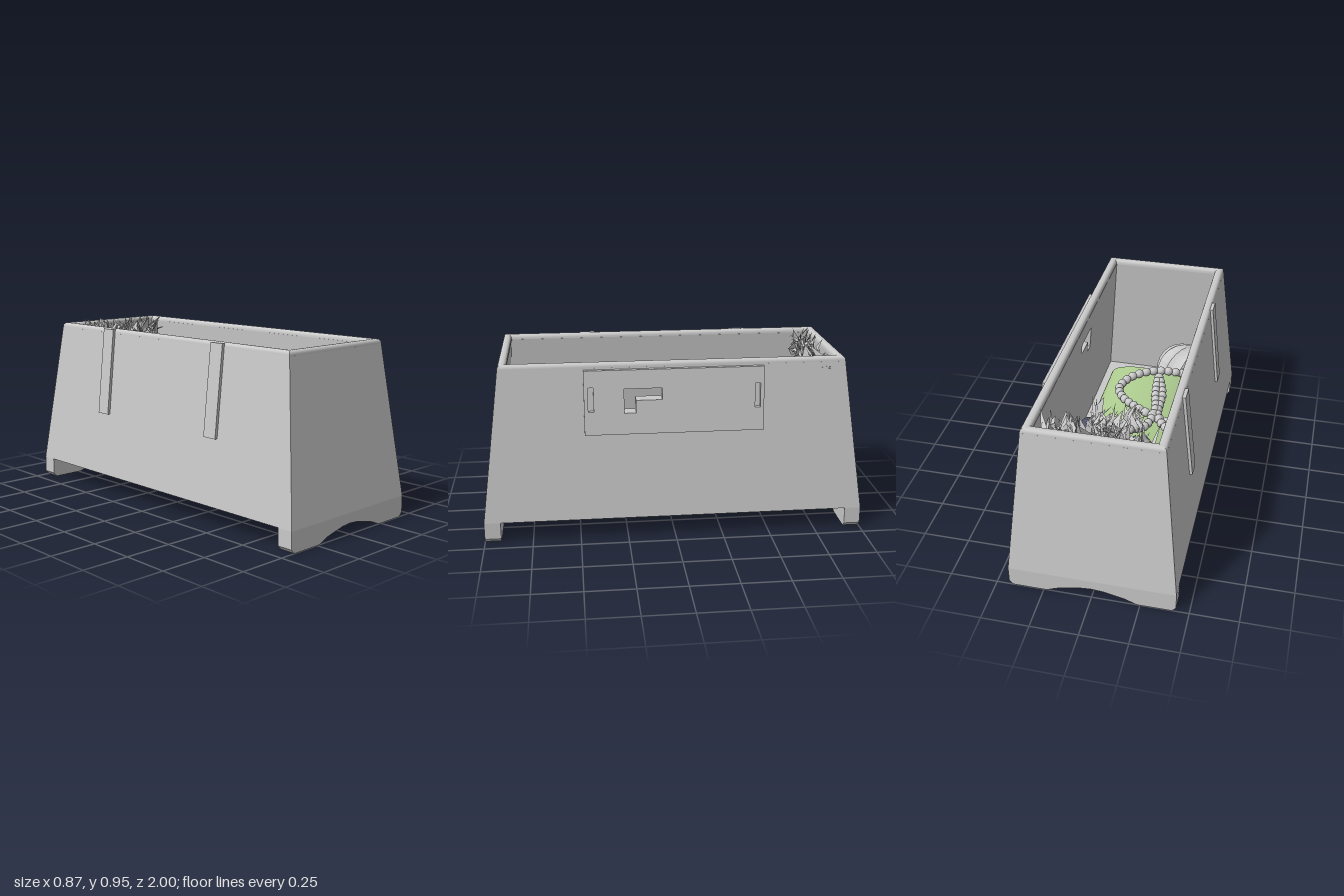
import * as THREE from 'three';

const { lerp, seededRandom } = THREE.MathUtils;

// Half widths of the tapering body at a given height
const outX = (y) => 0.433 - (y - 0.11) * 0.106;
const outZ = (y) => 1 - (y - 0.11) * 0.1325;
const inX = (y) => outX(y) - lerp(0.065, 0.049, (y - 0.11) / 0.8);
const inZ = (y) => outZ(y) - lerp(0.085, 0.044, (y - 0.11) / 0.8);

const poly = (pts) => new THREE.Shape(pts.map(([a, b]) => new THREE.Vector2(a, b)));
const rect = (a0, b0, a1, b1) => poly([[a0, b0], [a1, b0], [a1, b1], [a0, b1]]);
const latchHole = () => poly([[-0.26, 0.675], [-0.2, 0.675], [-0.2, 0.74], [-0.065, 0.74], [-0.065, 0.8], [-0.26, 0.8]]);

// Extrudes a shape by one unit, then moves each vertex by a rule
function bentSlab(shape, rule) {
  const geo = new THREE.ExtrudeGeometry(shape, { depth: 1, bevelEnabled: false, curveSegments: 8 });
  const p = geo.attributes.position;
  for (let i = 0; i < p.count; i++) p.setXYZ(i, ...rule(p.getX(i), p.getY(i), p.getZ(i)));
  geo.computeVertexNormals();
  return geo;
}

// Grid surface from a function of u and v
function sheet(nu, nv, fn) {
  const geo = new THREE.PlaneGeometry(1, 1, nu, nv);
  const p = geo.attributes.position;
  for (let i = 0; i < p.count; i++) p.setXYZ(i, ...fn(p.getX(i) + 0.5, 0.5 - p.getY(i)));
  geo.computeVertexNormals();
  return geo;
}

// Loose thin triangles: place(r) returns root and tip
function spikes(count, width, place) {
  const pos = [];
  for (let i = 0; i < count; i++) {
    const [root, tip] = place(() => seededRandom());
    const a = seededRandom() * 6.28;
    const side = new THREE.Vector3(Math.cos(a), 0.4 * Math.sin(3 * a), Math.sin(a)).multiplyScalar(width * (0.5 + seededRandom()));
    pos.push(...root.clone().add(side).toArray(), ...root.clone().sub(side).toArray(), ...tip.toArray());
  }
  const geo = new THREE.BufferGeometry();
  geo.setAttribute('position', new THREE.Float32BufferAttribute(pos, 3));
  geo.computeVertexNormals();
  return geo;
}

export function createModel() {
  const group = new THREE.Group();
  const material = (name, color, extra = {}) => Object.assign(new THREE.MeshStandardMaterial({ color, ...extra }), { name });
  const grey = material('grey', 0xcacaca);
  const greySheet = material('grey', 0xcacaca, { side: THREE.DoubleSide, flatShading: true });
  const green = material('soft green', 0xb0cf92, { side: THREE.DoubleSide });
  const blue = material('slate blue', 0x50566c, { side: THREE.DoubleSide });
  const add = (name, geo, mat, parent = group) => {
    const mesh = new THREE.Mesh(geo, mat);
    mesh.name = name;
    parent.add(mesh);
    return mesh;
  };

  // Long side walls, the left one pierced by the latch hole
  const top = 0.905;
  const sideRule = (a, b, d) => [lerp(inX(b), outX(b), d), b, -a];
  const sideShape = () => poly([[-1, 0.11], [1, 0.11], [outZ(top), top], [-outZ(top), top]]);
  const pierced = sideShape();
  pierced.holes.push(latchHole());
  add('leftWall', bentSlab(pierced, sideRule), grey);
  add('rightWall', bentSlab(sideShape(), sideRule), grey).rotation.y = Math.PI;

  // End walls with arched feet below
  const endShape = poly([[-0.428, 0.11], [0.428, 0.11], [outX(top) - 0.005, top], [0.005 - outX(top), top]]);
  const foot = poly([[-0.433, 0.11], [-0.433, 0.022], [-0.412, 0], [-0.235, 0], [-0.17, 0.027], [-0.06, 0.052], [0, 0.057],
    [0.06, 0.052], [0.17, 0.027], [0.235, 0], [0.412, 0], [0.433, 0.022], [0.433, 0.11]]);
  for (const [name, turn] of [['front', 0], ['back', Math.PI]]) {
    add(name + 'Wall', bentSlab(endShape, (a, b, d) => [a, b, lerp(inZ(b), outZ(b), d)]), grey).rotation.y = turn;
    add(name + 'Foot', bentSlab(foot, (a, b, d) => [a, b, lerp(0.915, 1, d)]), grey).rotation.y = turn;
  }
  const floor = add('floor', new THREE.BoxGeometry(0.8, 0.04, 1.86), grey);
  floor.position.y = 0.13;

  // Rounded rim, one mitred strip for each side
  const rim = new THREE.Group();
  rim.name = 'rim';
  group.add(rim);
  const arc = (c) => Math.sign(c) * Math.abs(c) ** 0.75;
  for (let i = 0; i < 4; i++) {
    const strip = sheet(1, 12, (u, v) => {
      const a = Math.PI * (1 - v);
      const inset = 0.5 - 0.5 * arc(Math.cos(a));
      const y = top - 0.002 + 0.027 * arc(Math.sin(a));
      const hx = outX(top) - 0.048 * inset, hz = outZ(top) - 0.045 * inset;
      return i % 2 === 0 ? [hx, y, (1 - 2 * u) * hz] : [(2 * u - 1) * hx, y, hz];
    });
    add('rimSide', strip, grey, rim).rotation.y = i < 2 ? 0 : Math.PI;
  }

  // Latch plate with two slots
  const plate = rect(-0.465, 0.565, 0.463, 0.897);
  plate.holes.push(latchHole());
  for (const a of [-0.43, 0.43]) plate.holes.push(rect(a - 0.014, 0.685, a + 0.014, 0.81));
  add('latchPlate', bentSlab(plate, (a, b, d) => [outX(b) - 0.002 + 0.023 * d, b, -a]), grey);

  // Hinge straps on the other side
  for (const z of [-0.44, 0.425]) {
    add('hingeStrap', bentSlab(rect(z - 0.042, 0.455, z + 0.042, 0.927),
      (a, b, d) => [outX(b) - 0.003 + 0.018 * d, b, -a]), grey).rotation.y = Math.PI;
  }

  // Open green roll lying inside, its front end cut at a slant
  const rollY = 0.275, rollH = 0.125;
  const rollTop = (x) => rollY + rollH * Math.sqrt(Math.max(0, 1 - (x / 0.3) ** 2));
  add('greenRoll', sheet(40, 1, (u, v) => {
    const a = u * Math.PI * 2;
    const x = 0.285 * Math.cos(a), y = rollH * Math.sin(a);
    return [x - 0.01, rollY + y, lerp(-0.35, 0.56, v) + 0.13 * x - 0.4 * y * v];
  }), green);

  // Beaded necklace in two loops over the roll
  const loops = [
    [[-0.26, 0.53], [-0.27, 0.1], [-0.23, 0.02], [-0.11, 0.02], [0, 0.07], [0.11, 0.17], [0.15, 0.27], [0.11, 0.37], [0, 0.45], [-0.13, 0.49]],
    [[-0.06, 0.4], [-0.11, 0.25], [-0.13, 0.02], [-0.26, -0.17], [-0.26, -0.27], [-0.16, -0.41], [-0.06, -0.46],
      [0.01, -0.38], [0, -0.25], [-0.08, -0.08], [-0.1, 0.08], [-0.07, 0.25]],
  ];
  const necklace = new THREE.Group();
  necklace.name = 'necklace';
  group.add(necklace);
  const beadGeo = new THREE.SphereGeometry(0.025, 12, 8);
  for (const pts of loops) {
    const curve = new THREE.CatmullRomCurve3(pts.map(([x, z]) => new THREE.Vector3(x, rollTop(x) + (z < -0.15 ? 0.09 : 0.025), z)), true);
    const count = Math.round(curve.getLength() / 0.045);
    for (let i = 0; i < count; i++) {
      const bead = add('bead', beadGeo, grey, necklace);
      bead.position.copy(curve.getPointAt(i / count));
      bead.lookAt(bead.position.clone().add(curve.getTangentAt(i / count)));
      bead.scale.z = 1.1;
    }
  }

  // Pleated ball in the front corner
  const ballGeo = new THREE.SphereGeometry(0.16, 36, 12);
  const bp = ballGeo.attributes.position;
  for (let i = 0; i < bp.count; i++) {
    const k = 1 + 0.05 * Math.cos(12 * Math.atan2(bp.getZ(i), bp.getX(i)));
    bp.setXYZ(i, bp.getX(i) * k, bp.getY(i), bp.getZ(i) * k);
  }
  ballGeo.computeVertexNormals();
  const ball = add('pleatedBall', ballGeo, greySheet);
  ball.position.set(-0.16, 0.31, 0.68);
  ball.rotation.set(0.5, 0, 0.4);

  // Shawl hanging down the back wall and lying over the roll
  const edge = (pts) => new THREE.CatmullRomCurve3(pts.map((p) => new THREE.Vector3(...p)));
  const shawlRight = edge([[-0.24, 0.83, -0.79], [-0.17, 0.62, -0.71], [-0.15, 0.48, -0.58], [-0.08, 0.43, -0.44], [-0.05, 0.42, -0.19]]);
  const shawlLeft = edge([[0.25, 0.83, -0.79], [0.24, 0.62, -0.7], [0.27, 0.46, -0.52], [0.29, 0.4, -0.33], [0.28, 0.36, -0.08]]);
  add('shawl', sheet(24, 20, (u, v) => {
    const p = shawlRight.getPoint(v).lerp(shawlLeft.getPoint(v), u);
    p.y += 0.015 * Math.sin(u * 14 + v * 2) * v + 0.02 * Math.sin(u * Math.PI) * v;
    p.z -= 0.14 * Math.sin(u * Math.PI) * v * v;
    return p.toArray();
  }), blue);
  const fold = add('shawlFold', new THREE.CapsuleGeometry(0.05, 0.22, 6, 12), blue);
  fold.position.set(0.235, 0.39, -0.22);
  fold.rotation.x = Math.PI / 2;

  // Shawl fringes at both ends
  seededRandom(7);
  add('backFringe', spikes(170, 0.022, (r) => {
    const x = lerp(-0.25, 0.27, r());
    const root = new THREE.Vector3(x, lerp(0.8, 0.88, r()), lerp(-0.83, -0.75, r()));
    const tip = new THREE.Vector3(x + lerp(-0.05, 0.06, r()), lerp(0.8, 0.955, r()), lerp(-0.85, -0.71, r()));
    return [root, tip];
  }), greySheet);
  add('strayFringe', spikes(6, 0.01, (r) => [
    new THREE.Vector3(0.32, 0.88, lerp(-0.8, -0.75, r())),
    new THREE.Vector3(0.37, lerp(0.865, 0.9, r()), lerp(-0.83, -0.74, r()))]), greySheet);
  add('frontFringe', spikes(140, 0.028, (r) => {
    const u = r();
    const root = new THREE.Vector3(lerp(-0.04, 0.2, u), lerp(0.43, 0.48, r()), lerp(-0.2, -0.29, Math.sin(u * 3)) + 0.12 * r());
    const tip = root.clone().add(new THREE.Vector3(lerp(-0.04, 0.07, r()), lerp(-0.05, 0.02, r()), lerp(0.06, 0.22, r())));
    return [root, tip];
  }), greySheet);

  return group;
}
